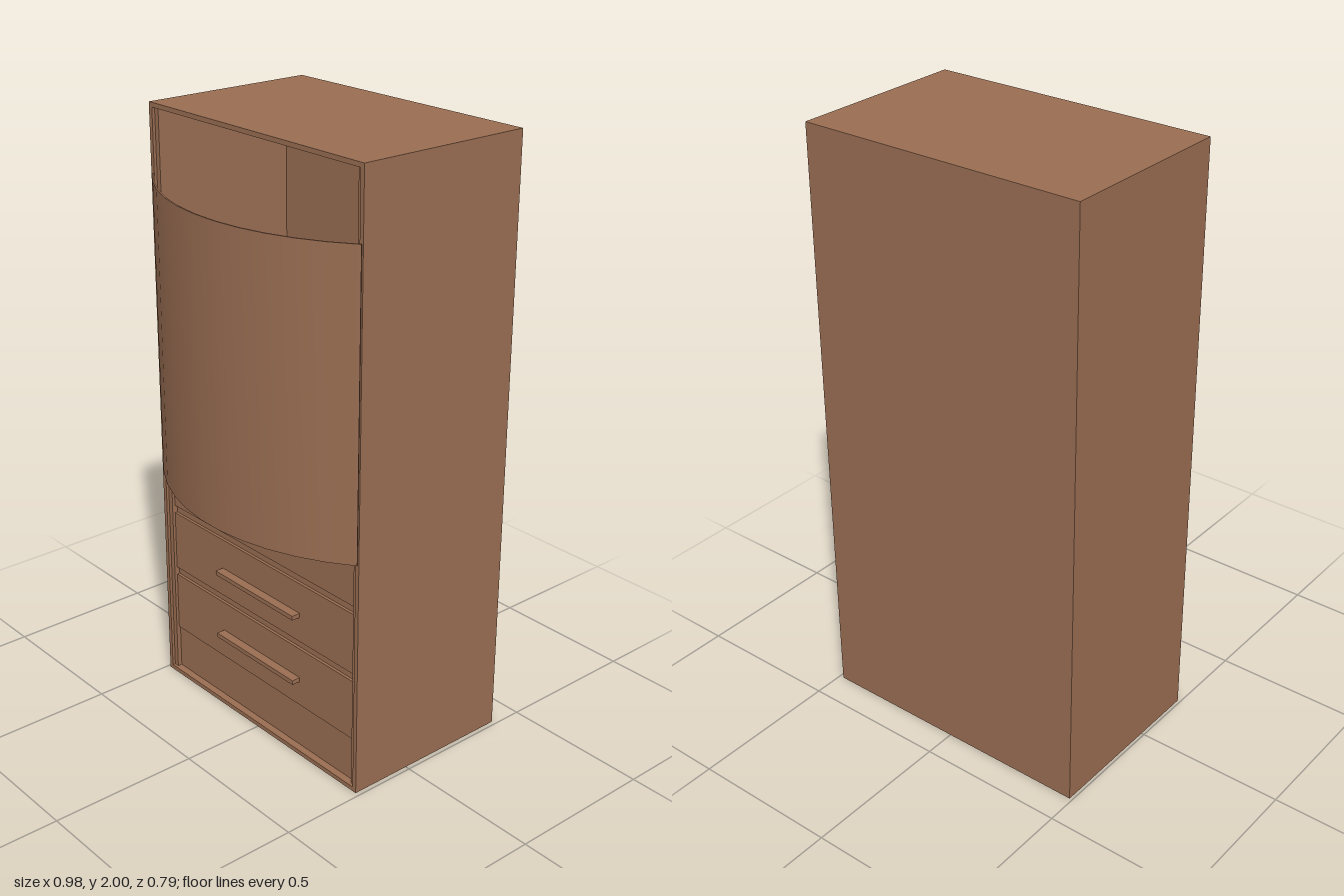
import * as THREE from 'three';
import { toCreasedNormals } from 'three/addons/utils/BufferGeometryUtils.js';

export function createModel() {
  const model = new THREE.Group();
  const wood = new THREE.MeshStandardMaterial({ color: 0x996d52 });
  const thinWood = new THREE.MeshStandardMaterial({ color: 0x996d52, side: THREE.DoubleSide });

  // Box given by its minimum and maximum corners
  function box(name, [x0, y0, z0], [x1, y1, z1], parent = model) {
    const mesh = new THREE.Mesh(new THREE.BoxGeometry(x1 - x0, y1 - y0, z1 - z0), wood);
    mesh.position.set((x0 + x1) / 2, (y0 + y1) / 2, (z0 + z1) / 2);
    mesh.name = name;
    parent.add(mesh);
    return mesh;
  }

  const left = 0.485, right = -0.49, back = -0.395, front = 0.215, t = 0.015;
  const innerLeft = 0.452, innerRight = -0.457, innerBack = -0.3, face = 0.195;

  // Outer carcass
  box('leftSide', [left - t, 0, back], [left, 2, front]);
  box('rightSide', [right, 0, back], [right + t, 2, front]);
  box('topPanel', [right + t, 2 - t, back], [left - t, 2, front]);
  box('bottomPanel', [right + t, 0, back], [left - t, t, front]);
  box('backPanel', [right + t, t, back], [left - t, 2 - t, back + t]);

  // Inner lining and interior
  box('leftLining', [innerLeft, t, innerBack], [left - t, 2 - t, 0.205]);
  box('rightLining', [right + t, t, innerBack], [innerRight, 2 - t, 0.205]);
  box('innerBack', [innerRight, t, innerBack - 0.01], [innerLeft, 2 - t, innerBack]);
  box('innerCeiling', [innerRight, 1.945, innerBack], [innerLeft, 1.955, 0]);
  box('wardrobeFloor', [innerRight, 0.845, innerBack], [innerLeft, 0.86, face]);

  // Plinth under the drawers
  box('plinth', [innerRight, t, face - 0.025], [innerLeft, 0.17, face - 0.005]);

  // Three drawers with bar handles, separated by recessed rails
  for (let i = 0; i < 3; i++) {
    const drawer = new THREE.Group();
    drawer.name = 'drawer' + (i + 1);
    const y = 0.17 + i * 0.2345;
    box('drawerFront', [innerRight, y, face - 0.02], [innerLeft, y + 0.207, face], drawer);
    box('drawerHandle', [-0.198, y + 0.087, face], [0.192, y + 0.102, 0.225], drawer);
    model.add(drawer);
    box('drawerRail', [innerRight, y + 0.207, innerBack], [innerLeft, y + 0.2345, face - 0.01]);
  }

  // Thin bowed door: rectangular profile swept along an arc
  const R = 0.771, thick = 0.005, y0 = 0.805, y1 = 1.78;
  const profile = [[R - thick, y0], [R, y0], [R, y1], [R - thick, y1], [R - thick, y0]]
    .map(([x, y]) => new THREE.Vector2(x, y));
  const start = -0.682, end = 0.672;
  const doorGeometry = toCreasedNormals(new THREE.LatheGeometry(profile, 11, start, end - start), 0.5);
  const door = new THREE.Mesh(doorGeometry, thinWood);
  door.position.set(0.008, 0, -0.379);
  door.name = 'bowedDoor';
  model.add(door);

  return model;
}
